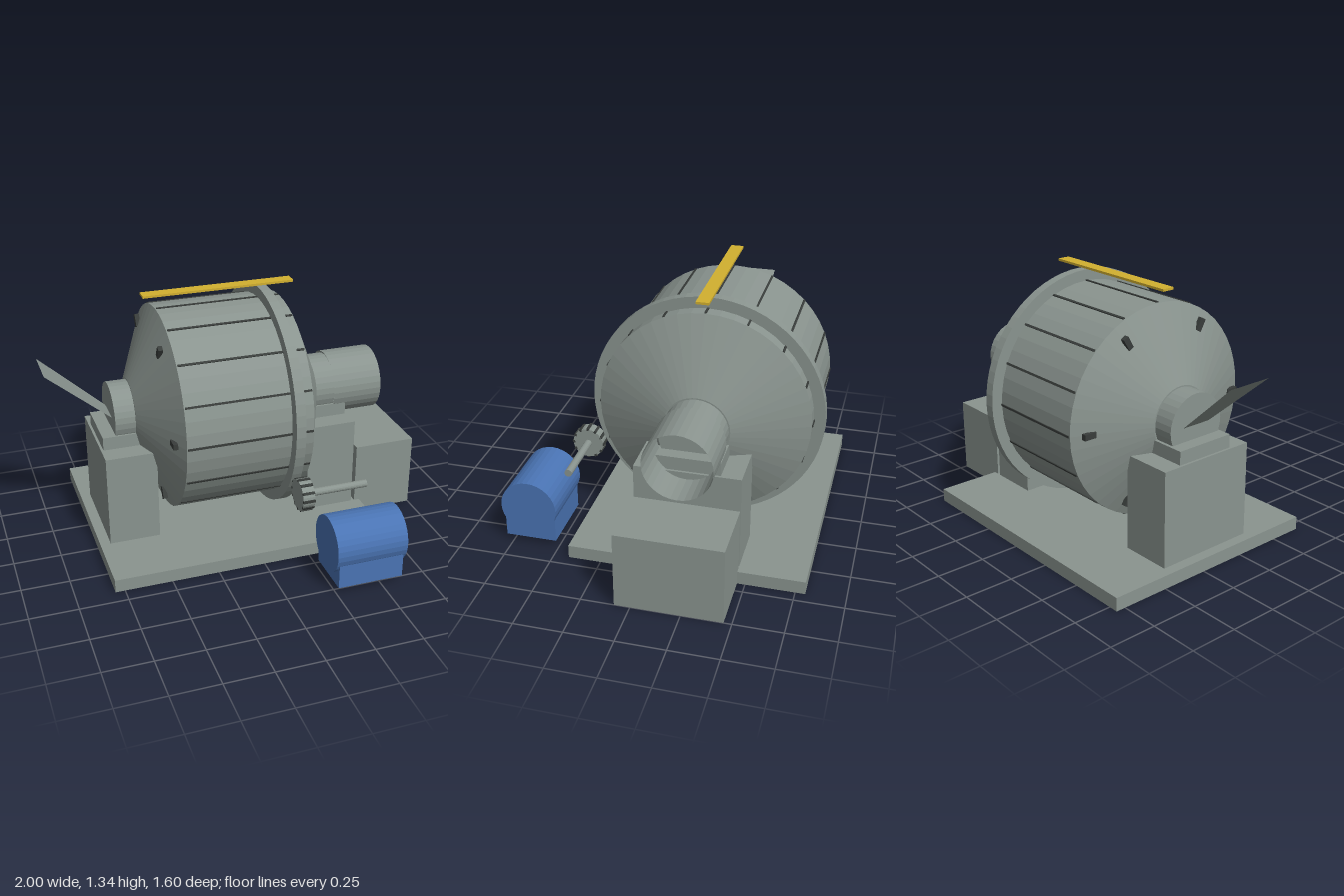
import * as THREE from 'three';

export function createModel() {
  const mat = (name, color) => {
    const m = new THREE.MeshStandardMaterial({ color });
    m.name = name;
    return m;
  };
  const steel = mat('grey steel', 0x8a948f);
  const dark = mat('dark steel', 0x393d3b);
  const blue = mat('motor blue', 0x4a74b4);
  const yellow = mat('safety yellow', 0xd2b030);
  const sheet = mat('grey sheet', 0x8a948f);
  sheet.side = THREE.DoubleSide;

  const model = new THREE.Group();
  const AXIS_Y = 0.707, AXIS_Z = -0.19;

  function add(parent, name, geo, material, x = 0, y = 0, z = 0) {
    const m = new THREE.Mesh(geo, material);
    m.name = name;
    m.position.set(x, y, z);
    parent.add(m);
    return m;
  }
  // Box given by its limits on each axis
  function box(name, [x0, x1], [y0, y1], [z0, z1], material) {
    return add(model, name, new THREE.BoxGeometry(x1 - x0, y1 - y0, z1 - z0), material,
      (x0 + x1) / 2, (y0 + y1) / 2, (z0 + z1) / 2);
  }
  // Faceted geometry turned so that its axis runs along x
  function alongX(geo) {
    const g = geo.toNonIndexed().rotateZ(-Math.PI / 2);
    g.computeVertexNormals();
    return g;
  }
  function rod(parent, name, r, x0, x1, y, z, material, sides = 32, open = false) {
    const g = alongX(new THREE.CylinderGeometry(r, r, x1 - x0, sides, 1, open));
    return add(parent, name, g, material, (x0 + x1) / 2, y, z);
  }
  // Repeated boxes around an x axis; the first one points up
  function ringOfBoxes(parent, name, count, start, r, x, size, material) {
    for (let i = 0; i < count; i++) {
      const a = start + (i / count) * Math.PI * 2;
      const b = add(parent, name, new THREE.BoxGeometry(...size), material,
        x, Math.cos(a) * r, Math.sin(a) * r);
      b.rotation.x = a;
    }
  }

  // Foundation, bearing pedestals and discharge box
  box('basePlate', [-0.8, 0.69], [0, 0.07], [-0.8, 0.42], steel);
  for (const [side, x] of [['feed', -0.61], ['discharge', 0.505]]) {
    box(side + 'Pedestal', [x - 0.135, x + 0.135], [0.07, 0.57], [-0.46, 0.08], steel);
    box(side + 'BearingBlock', [x - 0.122, x + 0.122], [0.57, 0.64], [-0.355, -0.03], steel);
  }
  box('dischargeBox', [0.66, 1], [0, 0.405], [-0.46, 0.08], steel);

  // Rotating drum with conical ends
  const drum = new THREE.Group();
  drum.name = 'drum';
  drum.position.set(0, AXIS_Y, AXIS_Z);
  model.add(drum);
  const profile = [[0, -0.555], [0.17, -0.555], [0.545, -0.39], [0.545, 0.285], [0.17, 0.45], [0, 0.45]]
    .map(([r, x]) => new THREE.Vector2(r, x));
  add(drum, 'drumShell', alongX(new THREE.LatheGeometry(profile, 48)), steel);
  rod(drum, 'ringGear', 0.603, 0.165, 0.217, 0, 0, steel, 64);
  rod(drum, 'feedTrunnion', 0.163, -0.662, -0.54, 0, 0, steel);
  rod(drum, 'dischargeTrunnion', 0.163, 0.44, 0.56, 0, 0, steel);
  rod(drum, 'dischargeTube', 0.174, 0.555, 0.83, 0, 0, sheet, 32, true);

  // Shell strips and end bolts
  ringOfBoxes(drum, 'shellStrip', 16, 0, 0.545, -0.052, [0.665, 0.01, 0.011], dark);
  ringOfBoxes(drum, 'endBolt', 6, Math.PI / 2, 0.465, -0.434, [0.024, 0.066, 0.03], dark);

  // Feed chute, a thin sloping sheet that widens outwards
  const chute = new THREE.BufferGeometry();
  chute.setAttribute('position', new THREE.Float32BufferAttribute([
    -0.66, 0.71, -0.108, -0.66, 0.71, -0.272,
    -1, 1.01, -0.312, -1, 1.01, -0.068], 3));
  chute.setIndex([0, 1, 2, 0, 2, 3]);
  chute.computeVertexNormals();
  add(model, 'feedChute', chute, sheet);

  // Pinion and its shaft
  const pinion = new THREE.Group();
  pinion.name = 'pinion';
  pinion.position.set(0, 0.408, 0.457);
  model.add(pinion);
  rod(pinion, 'pinionWheel', 0.082, 0.16, 0.224, 0, 0, steel, 24);
  ringOfBoxes(pinion, 'pinionTooth', 12, 0, 0.08, 0.192, [0.064, 0.014, 0.014], dark);
  rod(pinion, 'pinionShaft', 0.02, 0.16, 0.54, 0, 0, steel, 16);

  // Drive motor
  rod(model, 'motorBody', 0.148, 0.247, 0.627, 0.219, 0.652, blue, 32);
  box('motorFoot', [0.262, 0.612], [0.03, 0.165], [0.517, 0.787], blue);

  // Guard strip above the drum
  box('guardStrip', [-0.46, 0.353], [1.326, 1.338], [-0.224, -0.158], yellow);

  return model;
}
